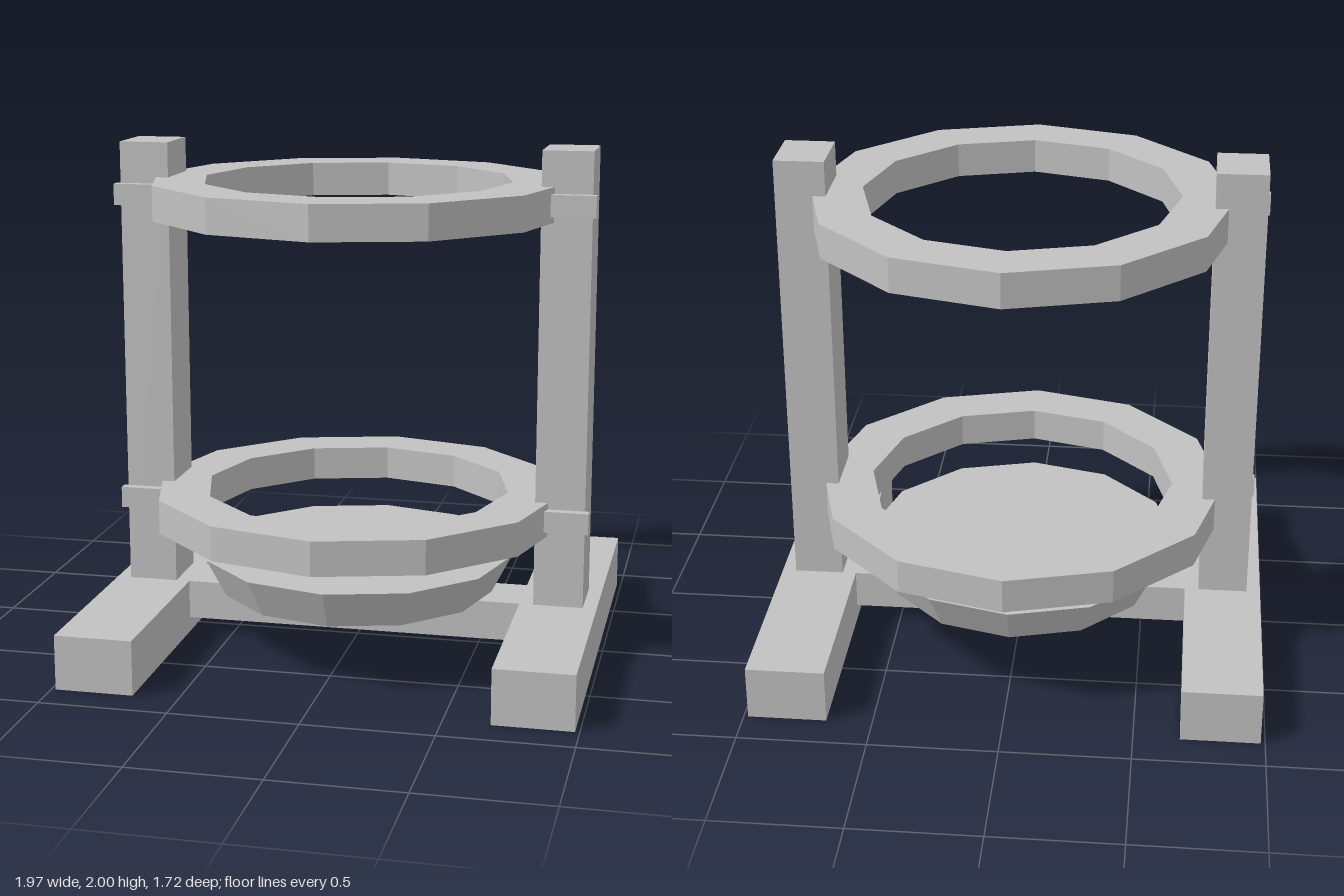
import * as THREE from 'three';

export function createModel() {
  const model = new THREE.Group();
  model.name = 'ringStand';
  const grey = new THREE.MeshStandardMaterial({ color: 0xc2c2c2, flatShading: true });
  grey.name = 'plain grey';

  const add = (name, geometry) => {
    const mesh = new THREE.Mesh(geometry, grey);
    mesh.name = name;
    model.add(mesh);
    return mesh;
  };
  // Box given by its limits on each axis
  const box = (name, x0, x1, y0, y1, z0, z1) =>
    add(name, new THREE.BoxGeometry(x1 - x0, y1 - y0, z1 - z0))
      .position.set((x0 + x1) / 2, (y0 + y1) / 2, (z0 + z1) / 2);
  // The same box on both sides
  const pair = (name, x0, x1, ...rest) => {
    box('left' + name, x0, x1, ...rest);
    box('right' + name, -x1, -x0, ...rest);
  };

  // Base: two feet joined by a raised crossbar, with a post on each foot
  pair('Foot', 0.678, 0.983, 0, 0.215, -0.86, 0.86);
  pair('Post', 0.733, 0.928, 0.215, 2, -0.12, 0.12);
  box('crossbar', -0.678, 0.678, 0.06, 0.215, -0.12, 0.12);

  // Flared twelve-sided tray resting on the crossbar
  add('tray', new THREE.CylinderGeometry(0.628, 0.55, 0.152, 12)).position.y = 0.294;

  // Two flat twelve-sided rings, each with a clip on the front of either post
  const w = 0.0675;
  const profile = [[0.61, -w], [0.815, -w], [0.815, w], [0.61, w], [0.61, -w]]
    .map(([r, y]) => new THREE.Vector2(r, y));
  [['Lower', 0.566], ['Upper', 1.796]].forEach(([level, y]) => {
    add(level.toLowerCase() + 'Ring', new THREE.LatheGeometry(profile, 12)).position.y = y;
    pair(level + 'Clip', 0.72, 0.945, y - 0.042, y + 0.042, 0.12, 0.157);
  });

  return model;
}
